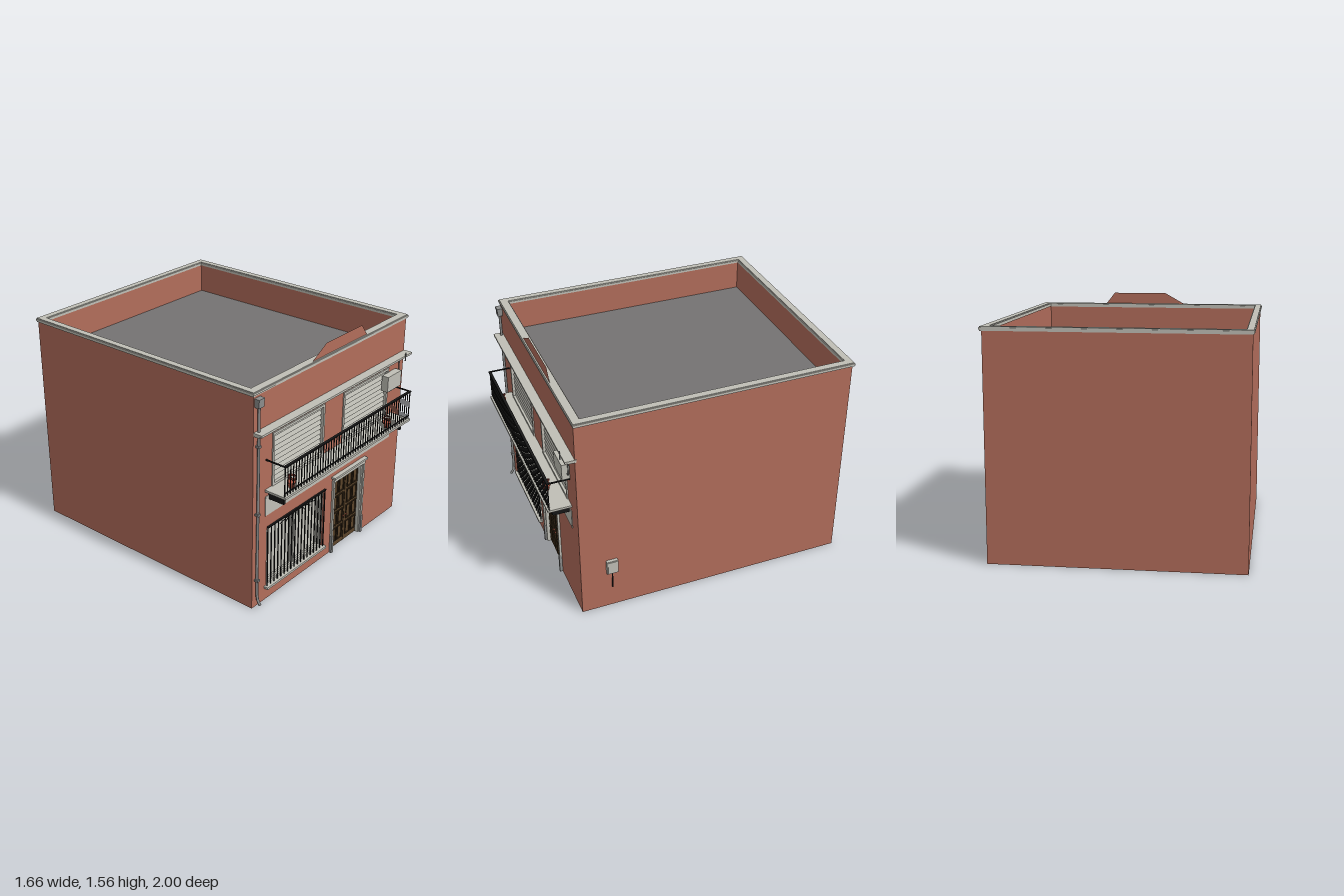
import * as THREE from 'three';

const mat = (name, color, side = THREE.FrontSide) => {
  const m = new THREE.MeshStandardMaterial({ color, side });
  m.name = name;
  return m;
};

export function createModel() {
  const brick = mat('terracotta wall', 0xb26d5b, THREE.DoubleSide);
  const stone = mat('pale stone', 0xc0bfb6);
  const roofGrey = mat('roof grey', 0x757373, THREE.DoubleSide);
  const steel = mat('pipe grey', 0x8b8c8b);
  const iron = mat('black iron', 0x171717);
  const wood = mat('door wood', 0x5a4329);
  const darkWood = mat('dark wood', 0x3a2a18);
  const clay = mat('flower pot clay', 0xa5523f);
  const plant = mat('plant red', 0x6b2a26);

  const house = new THREE.Group();
  house.name = 'townHouse';
  const group = (name, parent = house) => {
    const g = new THREE.Group();
    g.name = name;
    parent.add(g);
    return g;
  };
  const add = (name, geo, m, parent = house) => {
    const mesh = new THREE.Mesh(geo, m);
    mesh.name = name;
    parent.add(mesh);
    return mesh;
  };
  // Box given by its limits
  const box = (name, x0, x1, y0, y1, z0, z1, m, parent) => {
    const b = add(name, new THREE.BoxGeometry(x1 - x0, y1 - y0, z1 - z0), m, parent);
    b.position.set((x0 + x1) / 2, (y0 + y1) / 2, (z0 + z1) / 2);
    return b;
  };
  const tube = (name, pts, r, m, parent, n = 12) => add(name, new THREE.TubeGeometry(
    new THREE.CatmullRomCurve3(pts.map(p => new THREE.Vector3(...p)), false, 'centripetal'), n, r, 8), m, parent);
  const rect = (C, x0, x1, y0, y1) => {
    const p = new C();
    p.moveTo(x0, y0); p.lineTo(x1, y0); p.lineTo(x1, y1); p.lineTo(x0, y1); p.closePath();
    return p;
  };
  const plane = (name, w, h, x, y, z, ry, m, rx = 0) => {
    const p = add(name, new THREE.PlaneGeometry(w, h), m);
    p.position.set(x, y, z);
    p.rotation.set(rx, ry, 0);
  };
  // Rectangular frame standing in the facade
  const frame = (name, x0, x1, y0, y1, t, z0, z1, m, parent) => {
    const s = rect(THREE.Shape, x0, x1, y0, y1);
    s.holes.push(rect(THREE.Path, x0 + t, x1 - t, y0 + t, y1 - t));
    add(name, new THREE.ExtrudeGeometry(s, { depth: z1 - z0, bevelEnabled: false }), m, parent).position.z = z0;
  };

  const L = -0.82, R = 0.80, F = 0.845, B = -0.99, H = 1.46;
  const upper = [[-0.64, -0.115], [0.09, 0.615]];

  // Front wall with door and window openings
  const front = new THREE.Shape();
  [[L, 0], [0.02, 0], [0.02, 0.56], [0.365, 0.56], [0.365, 0], [R, 0], [R, H], [L, H]]
    .forEach(([x, y], i) => i ? front.lineTo(x, y) : front.moveTo(x, y));
  front.holes.push(rect(THREE.Path, -0.68, -0.085, 0.1, 0.53));
  upper.forEach(([a, b]) => front.holes.push(rect(THREE.Path, a + 0.005, b - 0.005, 0.81, 1.155)));
  add('frontWall', new THREE.ExtrudeGeometry(front, { depth: 0.05, bevelEnabled: false }), brick).position.z = F - 0.05;

  // Side and back walls, parapet linings and flat roof
  const midZ = (F + B) / 2;
  plane('rightWall', F - B, H, R, H / 2, midZ, Math.PI / 2, brick);
  plane('leftWall', F - B, H, L, H / 2, midZ, -Math.PI / 2, brick);
  plane('backWall', R - L, H, (L + R) / 2, H / 2, B, Math.PI, brick);
  const roofY = 1.26, ph = H - roofY, py = roofY + ph / 2;
  plane('parapetRight', 1.735, ph, 0.757, py, -0.078, -Math.PI / 2, brick);
  plane('parapetLeft', 1.735, ph, -0.777, py, -0.078, Math.PI / 2, brick);
  plane('parapetBack', 1.54, ph, -0.01, py, -0.942, 0, brick);
  plane('roof', R - L - 0.01, F - B - 0.06, -0.01, roofY, midZ - 0.022, 0, roofGrey, -Math.PI / 2);

  // Parapet coping in two stacked rings
  const ring = (name, o, i, y0, y1) => {
    const s = rect(THREE.Shape, -0.83 + o, 0.815 - o, -0.852 + o, 1 - o);
    s.holes.push(rect(THREE.Path, -0.778 - i, 0.76 + i, -0.79 - i, 0.945 + i));
    const g = new THREE.ExtrudeGeometry(s, { depth: y1 - y0, bevelEnabled: false }).rotateX(-Math.PI / 2);
    add(name, g, stone).position.y = y0;
  };
  ring('copingLower', 0.004, 0, 1.455, 1.463);
  ring('copingUpper', 0, 0, 1.463, 1.476);
  ring('copingTop', 0.005, 0.005, 1.476, 1.482);

  // Thin gable above the coping
  const crest = new THREE.Shape([[-0.27, 1.47], [0.345, 1.47], [0.275, 1.56], [-0.11, 1.56]]
    .map(p => new THREE.Vector2(...p)));
  add('crest', new THREE.ShapeGeometry(crest), brick).position.z = 0.838;

  // Facade mouldings
  box('stringCourse', L, 0.805, 1.212, 1.226, F - 0.01, 0.908, stone);
  box('stringCourseUnder', L, R, 1.203, 1.212, F - 0.01, 0.89, stone);
  box('paleBand', -0.70, 0.68, 0.615, 0.75, F - 0.003, F + 0.004, stone);

  // Upper windows with sloping shutter slats
  upper.forEach(([a, b]) => {
    const g = group('shutteredWindow');
    frame('windowFrame', a, b, 0.80, 1.158, 0.016, F - 0.02, F + 0.008, stone, g);
    box('shutterBack', a + 0.01, b - 0.01, 0.81, 1.15, 0.812, 0.818, stone, g);
    for (let i = 0; i < 10; i++) {
      const y = 0.833 + i * 0.0335;
      const s = box('slat', a + 0.016, b - 0.016, y - 0.015, y + 0.015, 0.828, 0.833, stone, g);
      s.rotation.x = -0.35;
      box('slatGap', a + 0.016, b - 0.016, y + 0.0145, y + 0.019, 0.82, 0.832, steel, g);
    }
  });

  // Ground floor window
  const win = group('groundWindow');
  box('sill', -0.70, -0.07, 0.087, 0.102, F - 0.04, F + 0.03, stone, win);
  box('pane', -0.68, -0.085, 0.1, 0.53, 0.81, 0.816, stone, win);
  frame('windowFrame', -0.68, -0.085, 0.1, 0.53, 0.014, 0.816, 0.84, stone, win);
  [[-0.665, -0.387], [-0.379, -0.1]].forEach(([a, b]) => frame('sash', a, b, 0.115, 0.515, 0.018, 0.816, 0.828, stone, win));
  const grille = group('windowGrille', win);
  for (let i = 0; i <= 17; i++) {
    const x = -0.682 + i * 0.0351;
    box('bar', x - 0.003, x + 0.003, 0.1, 0.53, 0.853, 0.859, iron, grille);
  }
  box('topRail', -0.686, -0.08, 0.526, 0.535, 0.85, 0.862, iron, grille);
  for (const s of [-1, 1]) for (const [dx, dy] of [[0.19, 0.505], [0.13, 0.495], [0.07, 0.492]]) {
    tube('scroll', [[-0.383, 0.522, 0.862], [-0.383 + s * dx * 0.6, 0.522, 0.862], [-0.383 + s * dx, dy, 0.862]], 0.0028, iron, grille);
  }
  box('scrollDrop', -0.387, -0.379, 0.485, 0.53, 0.859, 0.865, iron, grille);

  // Door with two panelled leaves
  const door = group('door');
  box('leaves', 0.035, 0.35, 0, 0.545, 0.81, 0.825, wood, door);
  box('leafGap', 0.19, 0.194, 0, 0.54, 0.825, 0.828, darkWood, door);
  for (const x of [0.081, 0.147, 0.242, 0.307]) for (let r = 0; r < 4; r++) {
    const y = 0.04 + r * 0.124;
    for (const [z0, z1] of [[0.825, 0.832], [0.803, 0.81]]) {
      frame('panelMoulding', x - 0.027, x + 0.027, y, y + 0.106, 0.007, z0, z1, darkWood, door);
    }
  }
  for (const x of [0.176, 0.208]) {
    const knob = add('knob', new THREE.SphereGeometry(0.007, 10, 8), clay, door);
    knob.position.set(x, 0.205, 0.835);
  }
  for (const s of [-1, 1]) {
    const c = 0.1925, span = (a, b) => s < 0 ? [c - b, c - a] : [c + a, c + b];
    box('jamb', ...span(0.152, 0.166), 0, 0.55, 0.81, 0.85, stone, door);
    box('outerJamb', ...span(0.166, 0.183), 0, 0.55, 0.815, 0.86, stone, door);
    box('plinth', ...span(0.164, 0.184), 0, 0.13, 0.82, 0.864, steel, door);
  }
  box('lintel', 0.01, 0.375, 0.54, 0.57, 0.81, 0.862, stone, door);
  box('lintelCap', 0, 0.385, 0.57, 0.584, 0.82, 0.875, stone, door);

  // Balcony with railing and brackets
  const balcony = group('balcony');
  box('slab', -0.705, 0.687, 0.785, 0.80, F - 0.02, 1, stone, balcony);
  for (const x of [-0.658, 0.635]) box('bracket', x - 0.01, x + 0.01, 0.722, 0.785, F, 0.96, iron, balcony);
  box('handRail', -0.70, 0.682, 0.998, 1.007, 0.978, 0.996, iron, balcony);
  box('lowerRail', -0.70, 0.682, 0.818, 0.825, 0.984, 0.991, iron, balcony);
  for (const x of [-0.698, 0.68]) box('sideRail', x - 0.004, x + 0.004, 0.998, 1.006, F - 0.01, 0.99, iron, balcony);
  for (let i = 0; i <= 50; i++) {
    const x = -0.697 + i * 0.02752, w = i % 2 ? 0.0018 : 0.003;
    box('baluster', x - w, x + w, 0.80, 1, 0.985, 0.990, iron, balcony);
  }

  // Potted plants
  for (const x of [-0.575, 0.475]) {
    const pot = group('pottedPlant', balcony);
    pot.position.set(x, 0.80, 0.945);
    add('pot', new THREE.LatheGeometry([[0, 0], [0.018, 0], [0.024, 0.035], [0.028, 0.035], [0.028, 0.044], [0, 0.044]]
      .map(p => new THREE.Vector2(...p)), 14), clay, pot);
    for (let i = 0; i < 9; i++) {
      const a = i * 2.4, r = i ? 0.018 : 0;
      const leaf = add('leafClump', new THREE.IcosahedronGeometry(0.009, 0), i % 2 ? clay : plant, pot);
      leaf.position.set(Math.cos(a) * r, 0.058 + (i % 3) * 0.008, Math.sin(a) * r);
    }
  }

  // Rainwater pipe
  const drain = group('drainPipe');
  box('hopper', -0.812, -0.764, 1.385, 1.435, F, 0.878, steel, drain);
  box('hopperRim', -0.814, -0.762, 1.425, 1.441, F, 0.881, steel, drain);
  tube('pipe', [[-0.788, 1.39, 0.86], [-0.788, 0.7, 0.86], [-0.788, 0.1, 0.86], [-0.788, 0.06, 0.865], [-0.788, 0.025, 0.885]], 0.009, steel, drain, 40);
  for (const y of [0.2, 0.67, 1.13]) box('clip', -0.80, -0.776, y - 0.007, y + 0.007, F, 0.872, steel, drain);

  // Air conditioner with its conduit
  const cooler = group('airConditioner');
  box('casing', 0.535, 0.697, 1.018, 1.127, 0.85, 0.9, stone, cooler);
  box('mount', 0.56, 0.67, 1.012, 1.02, F, 0.895, steel, cooler);
  tube('conduit', [[0.695, 1.06, 0.865], [0.712, 1.06, 0.865], [0.718, 1.068, 0.865], [0.718, 1.15, 0.865], [0.718, 1.2, 0.865]], 0.004, steel, cooler, 24);
  box('conduitEnd', 0.715, 0.721, 1.19, 1.25, 0.908, 0.914, steel, cooler);

  // Meter box on the side wall
  const meter = group('meterBox');
  box('meterCase', R, 0.822, 0.285, 0.385, 0.6, 0.675, stone, meter);
  box('meterLid', 0.822, 0.827, 0.29, 0.38, 0.605, 0.67, stone, meter);
  box('meterPipe', 0.807, 0.814, 0.16, 0.285, 0.634, 0.641, iron, meter);

  return house;
}
